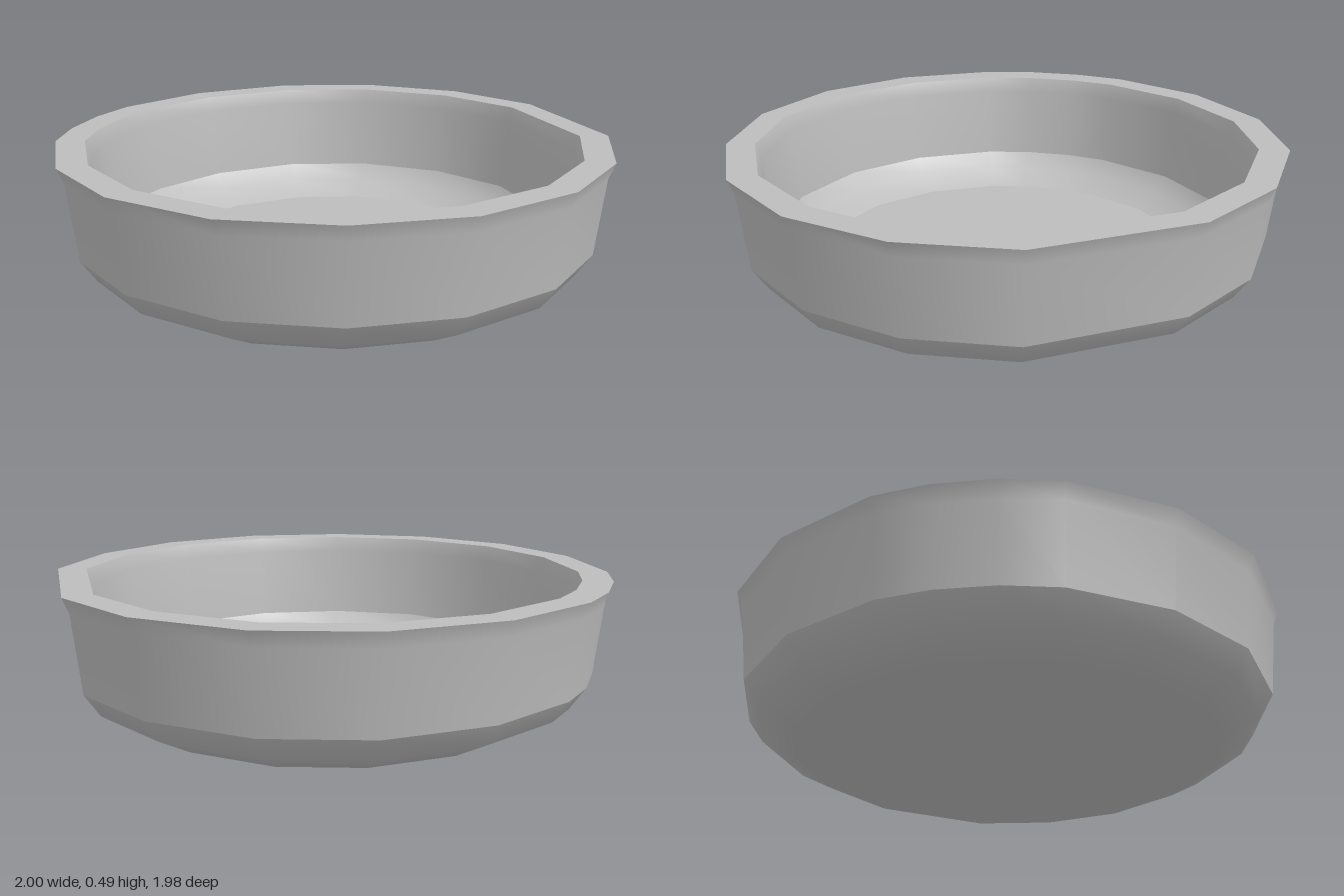
import * as THREE from 'three';

// Uneven hand-cut outline of the dish as [x, z], going round from the back
const OUTLINE = [
  [-0.19, -1], [0.19, -1], [0.56, -0.84], [0.83, -0.56], [1, -0.01], [0.92, 0.37],
  [0.71, 0.69], [0.38, 0.91], [0, 0.98], [-0.38, 0.91], [-0.71, 0.69], [-0.92, 0.37],
  [-1, 0], [-0.98, -0.2], [-0.92, -0.4], [-0.83, -0.57], [-0.56, -0.84],
];

// Skins a profile of [outline scale, height] rings with smooth normals
function skin(profile) {
  const n = OUTLINE.length;
  const positions = [];
  const index = [];
  for (const [s, y] of profile) {
    for (const [x, z] of OUTLINE) positions.push(x * s, y, z * s);
  }
  for (let j = 0; j < profile.length - 1; j++) {
    for (let i = 0; i < n; i++) {
      const k = (i + 1) % n;
      const a = j * n + i, b = j * n + k;
      const d = a + n, c = b + n;
      if (profile[j + 1][0] > 0) index.push(a, d, c);
      else index.push(a, d, b);
      if (profile[j][0] > 0 && profile[j + 1][0] > 0) index.push(a, c, b);
    }
  }
  const geometry = new THREE.BufferGeometry();
  geometry.setAttribute('position', new THREE.Float32BufferAttribute(positions, 3));
  geometry.setIndex(index);
  geometry.computeVertexNormals();
  return geometry;
}

export function createModel() {
  const dish = new THREE.Group();
  dish.name = 'dish';
  const grey = new THREE.MeshStandardMaterial({ color: 0xbcbcbc });
  grey.name = 'light grey';

  // Each part is its own skin, so edges between parts stay sharp
  const parts = {
    base: [[0, 0], [0.75, 0], [0.89, 0.075], [0.945, 0.155]],
    outerWall: [[0.945, 0.155], [0.977, 0.43], [1, 0.485]],
    rim: [[1, 0.485], [0.895, 0.485]],
    innerWall: [[0.895, 0.485], [0.875, 0.43], [0.845, 0.16]],
    innerBevel: [[0.845, 0.16], [0.8, 0.1], [0.7, 0.05]],
    floor: [[0.7, 0.05], [0, 0.05]],
  };
  for (const [name, profile] of Object.entries(parts)) {
    const mesh = new THREE.Mesh(skin(profile), grey);
    mesh.name = name;
    dish.add(mesh);
  }
  return dish;
}
